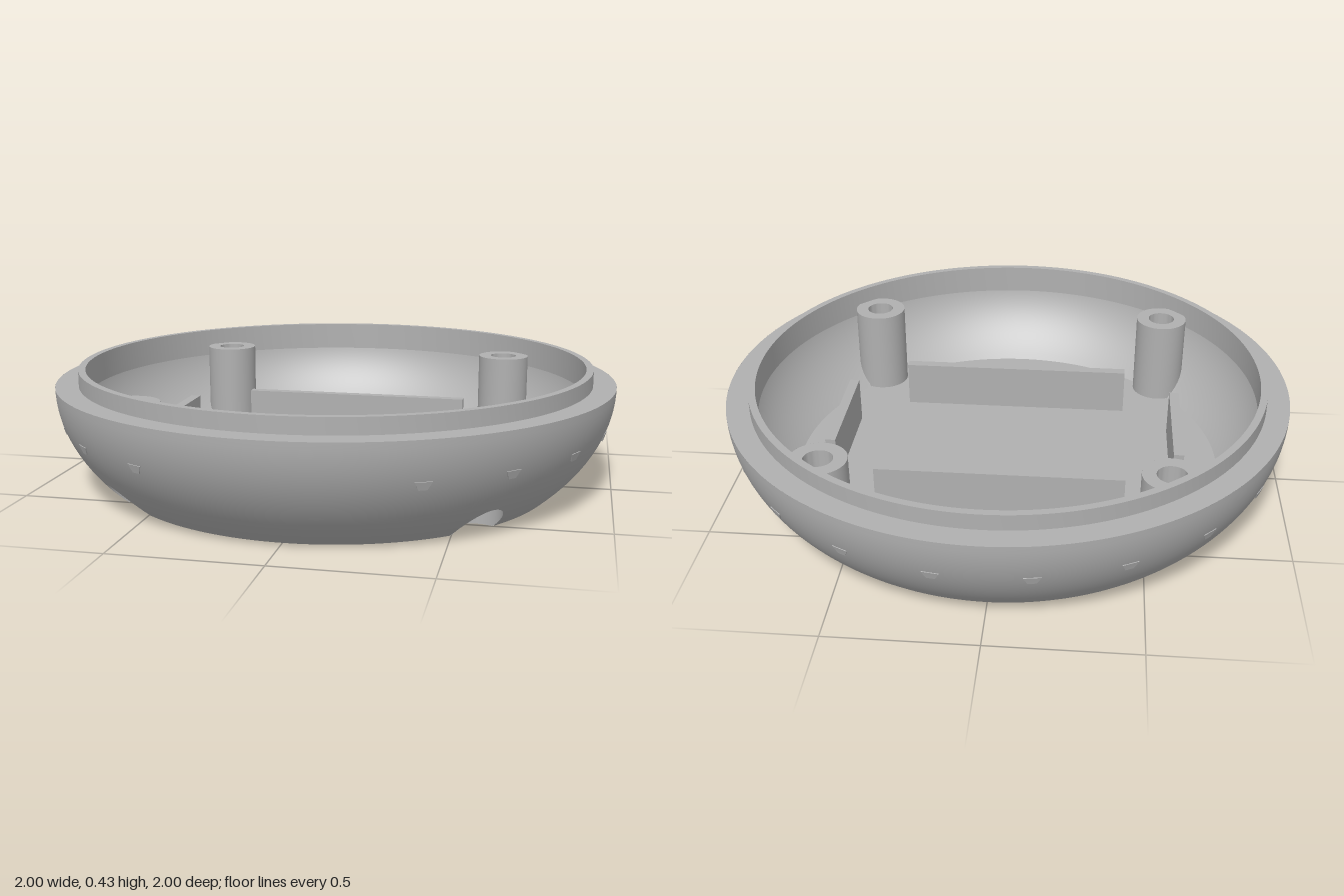
import * as THREE from 'three';
import { toCreasedNormals } from 'three/addons/utils/BufferGeometryUtils.js';

const TAU = Math.PI * 2;
const POST = 0.57;                       // post offset along x and z
const POST_DIST = POST * Math.SQRT2;
const RIM_Y = 0.375, FLOOR_Y = 0.055, LIP_Y = 0.325, POST_Y = 0.37;
const BORE = 0.086, BORE_Y = 0.21;       // screw recess under each post

// Elliptical wall profile: radius from height and height from radius
const wall = (a, b) => ({
  r: y => a * Math.sqrt(1 - ((RIM_Y - y) / b) ** 2),
  y: r => (r >= a ? RIM_Y : Math.max(0, RIM_Y - b * Math.sqrt(1 - (r / a) ** 2))),
});
const outer = wall(1, 0.618);
const inner = wall(0.945, 0.559);

// Near and far radius where a ray at angle t crosses a post bore of radius b
function boreSpan(t, b) {
  const phi = (t % (Math.PI / 2)) - Math.PI / 4;
  const s = b * b - (POST_DIST * Math.sin(phi)) ** 2;
  if (s <= 0) return null;
  const mid = POST_DIST * Math.cos(phi);
  return [mid - Math.sqrt(s), mid + Math.sqrt(s)];
}

// Closed ring surface; fn(angle, v) returns [radius, height]
function ring(cols, rows, fn, inward = false) {
  const pos = [], index = [];
  for (let j = 0; j <= rows; j++) {
    for (let i = 0; i < cols; i++) {
      const t = (i / cols) * TAU;
      const [r, y] = fn(t, j / rows);
      pos.push(r * Math.sin(t), y, r * Math.cos(t));
    }
  }
  for (let j = 0; j < rows; j++) {
    for (let i = 0; i < cols; i++) {
      const k = (i + 1) % cols;
      const a = j * cols + i, b = j * cols + k, c = b + cols, d = a + cols;
      if (inward) index.push(a, c, b, a, d, c);
      else index.push(a, b, c, a, c, d);
    }
  }
  const g = new THREE.BufferGeometry();
  g.setAttribute('position', new THREE.Float32BufferAttribute(pos, 3));
  g.setIndex(index);
  g.computeVertexNormals();
  return g;
}

// Curved wall that starts at the floor, or at the far edge of a bore
function bowlWall(profile, y0, y1, bore, inward) {
  return ring(720, 16, (t, v) => {
    const span = boreSpan(t, bore);
    const start = span ? Math.max(y0, profile.y(span[1])) : y0;
    const y = start + (y1 - start) * v;
    return [profile.r(y), y];
  }, inward);
}

// Flat disc with a bite taken out at each post bore
function bittenDisc(radius, bore, y, turn) {
  const pts = [];
  for (let i = 0; i < 720; i++) {
    const t = (i / 720) * TAU;
    const span = boreSpan(t, bore);
    const r = span ? Math.min(radius, span[0]) : radius;
    pts.push(new THREE.Vector2(r * Math.sin(t), r * Math.cos(t)));
  }
  return new THREE.ShapeGeometry(new THREE.Shape(pts)).rotateX(turn).translate(0, y, 0);
}

const lathe = (pts, segs) => toCreasedNormals(
  new THREE.LatheGeometry(pts.map(p => new THREE.Vector2(...p)), segs), 0.6);

export function createModel() {
  const model = new THREE.Group();
  const grey = new THREE.MeshStandardMaterial({ color: 0xb0b0b0, side: THREE.DoubleSide });
  grey.name = 'grey plastic';
  const add = (name, geometry, parent = model) => {
    const mesh = new THREE.Mesh(geometry, grey);
    mesh.name = name;
    parent.add(mesh);
    return mesh;
  };

  // Shell
  add('outerWall', bowlWall(outer, 0, RIM_Y, BORE, false));
  add('innerWall', bowlWall(inner, FLOOR_Y, LIP_Y, 0.092, true));
  add('underside', bittenDisc(outer.r(0), BORE, 0, Math.PI / 2));
  add('floor', bittenDisc(inner.r(FLOOR_Y), 0.092, FLOOR_Y, -Math.PI / 2));

  // Stepped rim with a raised lip, undercut inside
  add('rim', lathe([
    [1, RIM_Y], [0.92, RIM_Y], [0.92, 0.43], [0.895, 0.43],
    [0.895, LIP_Y], [inner.r(LIP_Y), LIP_Y],
  ], 180));

  // Hollow screw posts, open through the underside
  for (const sx of [-1, 1]) {
    for (const sz of [-1, 1]) {
      const post = new THREE.Group();
      post.name = 'screwPost';
      post.position.set(sx * POST, 0, sz * POST);
      model.add(post);
      // Height of the outer shell below a point on the post's circle
      const shellY = (t, r) => outer.y(Math.hypot(
        sx * POST + r * Math.sin(t), sz * POST + r * Math.cos(t)));
      add('postWall', ring(64, 1, (t, v) => {
        const y0 = Math.max(0.03, shellY(t, 0.097) + 0.02);
        return [0.097, y0 + (POST_Y - y0) * v];
      }), post);
      add('screwRecess', ring(64, 1, (t, v) => {
        const y0 = shellY(t, BORE);
        return [BORE, y0 + (BORE_Y - y0) * v];
      }, true), post);
      add('postTopAndHole', lathe([
        [0.097, POST_Y], [0.05, POST_Y], [0.05, BORE_Y], [BORE, BORE_Y],
      ], 48), post);
    }
  }

  // Upright ribs on the floor
  const ribH = 0.18;
  for (const s of [-1, 1]) {
    add('longRib', new THREE.BoxGeometry(0.86, ribH, 0.036))
      .position.set(0, 0.045 + ribH / 2, s * 0.38);
    add('shortRib', new THREE.BoxGeometry(0.036, ribH, 0.445))
      .position.set(s * 0.617, 0.045 + ribH / 2, 0);
  }

  // Small tapered marks around the wall, none at the front pair
  const mark = new THREE.Shape([[-0.028, 0.014], [-0.014, -0.014], [0.014, -0.014], [0.028, 0.014]]
    .map(p => new THREE.Vector2(...p)));
  const markGeo = new THREE.ExtrudeGeometry(mark, { depth: 0.008, bevelEnabled: false })
    .translate(0, 0, -0.005);
  for (let i = 1; i < 19; i++) {
    const t = ((i + 0.5) / 20) * TAU;
    const m = add('wallMark', markGeo);
    const r = outer.r(0.23);
    m.position.set(r * Math.sin(t), 0.23, r * Math.cos(t));
    m.rotation.set(0.3, t, 0, 'YXZ');
  }
  return model;
}
